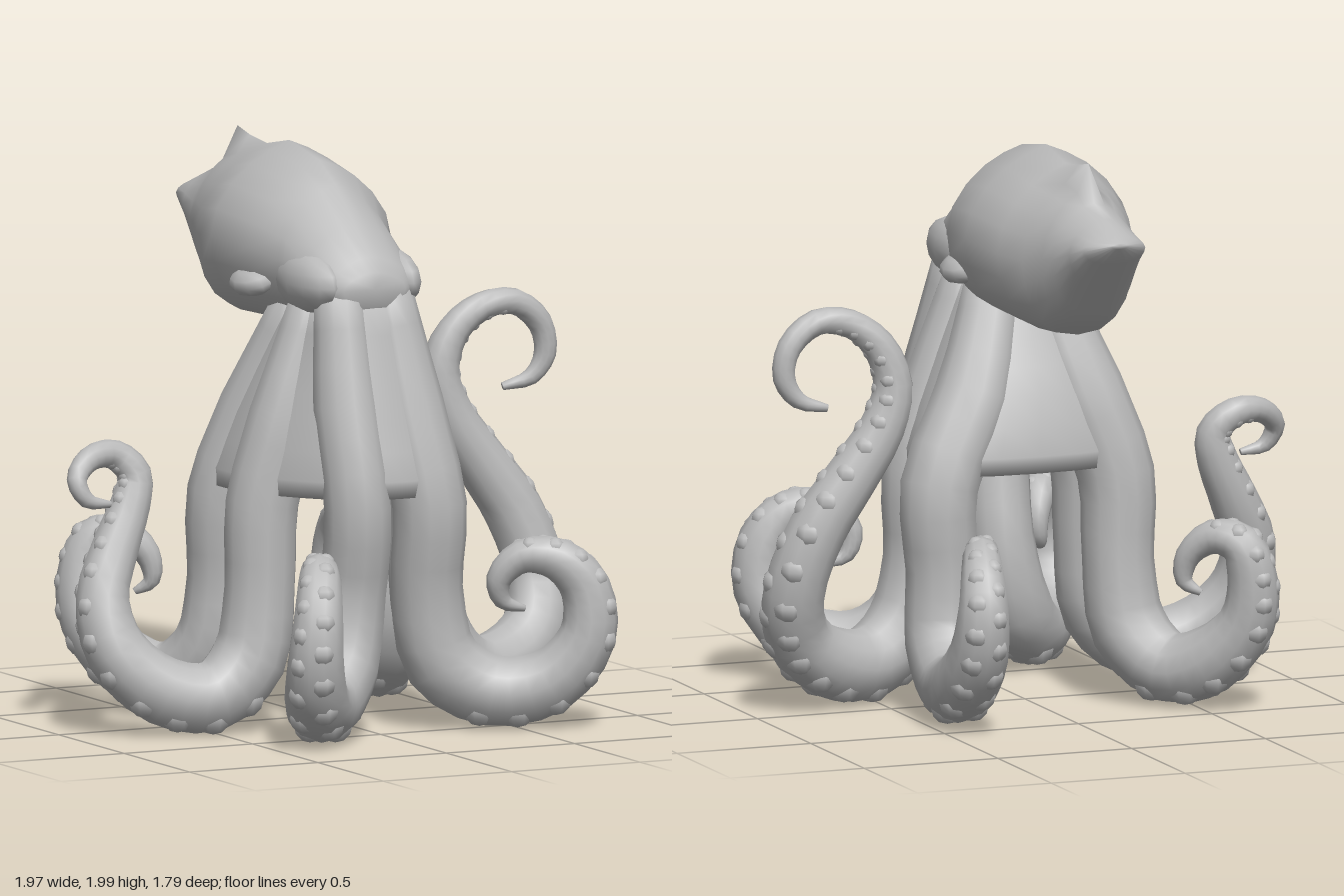
import * as THREE from 'three';
import { mergeGeometries } from 'three/addons/utils/BufferGeometryUtils.js';

const skin = new THREE.MeshStandardMaterial({ color: 0xbababa });
skin.name = 'grey skin';

// Closed smooth skin over rings, each running counter-clockwise about the direction of travel
function loft(rings) {
  const n = rings[0].length, m = rings.length, pos = [], idx = [];
  rings.forEach(r => r.forEach(p => pos.push(p.x, p.y, p.z)));
  for (let k = 0; k < m - 1; k++) {
    for (let i = 0; i < n; i++) {
      const j = (i + 1) % n, a = k * n + i, b = k * n + j;
      idx.push(a, b, a + n, b, b + n, a + n);
    }
  }
  [rings[0], rings[m - 1]].forEach((ring, end) => {
    const c = ring.reduce((s, p) => s.add(p), new THREE.Vector3()).divideScalar(n);
    const id = pos.length / 3, base = end ? (m - 1) * n : 0;
    pos.push(c.x, c.y, c.z);
    for (let i = 0; i < n; i++) {
      const a = base + i, b = base + (i + 1) % n;
      if (end) idx.push(id, a, b); else idx.push(id, b, a);
    }
  });
  const g = new THREE.BufferGeometry();
  g.setAttribute('position', new THREE.Float32BufferAttribute(pos, 3));
  g.setIndex(idx);
  g.computeVertexNormals();
  return g;
}

function add(parent, name, geometry) {
  const mesh = new THREE.Mesh(geometry, skin);
  mesh.name = name;
  parent.add(mesh);
  return mesh;
}

// Tapered arm along points [x, y, z, radius] with two staggered rows of lumpy suckers underneath
function makeArm(name, pts) {
  const arm = new THREE.Group();
  arm.name = name;
  const curve = new THREE.CatmullRomCurve3(pts.map(p => new THREE.Vector3(p[0], p[1], p[2])));
  const last = pts.length - 1, foot = pts[3], out = pts[8];
  const side = new THREE.Vector3(-(out[2] - foot[2]), 0, out[0] - foot[0]).normalize();
  const frame = t => {
    const T = curve.getTangent(t), u = Math.min(t * last, last - 1e-6), i = Math.floor(u);
    const S = side.clone().addScaledVector(T, -side.dot(T)).normalize();
    return { P: curve.getPoint(t), S, N: T.clone().cross(S),
      r: THREE.MathUtils.lerp(pts[i][3], pts[i + 1][3], u - i) };
  };
  const around = (f, a, r) => f.P.clone().addScaledVector(f.S, Math.cos(a) * r).addScaledVector(f.N, Math.sin(a) * r);

  const rings = [], steps = last * 3, sides = 12;
  for (let k = 0; k <= steps; k++) {
    const f = frame(k / steps);
    rings.push(Array.from({ length: sides }, (_, i) => around(f, i / sides * Math.PI * 2, f.r)));
  }
  add(arm, 'armSkin', loft(rings));

  const suckers = [];
  for (let t = 4.6 / last, row = 1; t < 0.78; t += 0.27 / last, row = -row) {
    const f = frame(t), p = around(f, Math.PI / 2 + row * 0.55, f.r * 0.6);
    suckers.push(new THREE.SphereGeometry(f.r * 0.5, 8, 6).translate(p.x, p.y, p.z));
  }
  add(arm, 'suckers', mergeGeometries(suckers));
  return arm;
}

// Arms in order around the body
const ARMS = {
  frontLeftArm: [[.09, 1.55, .36, .09], [.14, 1.15, .43, .125], [.19, .8, .5, .13], [.2, .5, .46, .125],
    [.26, .24, .46, .135], [.42, .135, .52, .125], [.6, .17, .62, .115], [.71, .33, .69, .1], [.7, .5, .69, .088],
    [.61, .6, .66, .075], [.5, .61, .6, .06], [.43, .53, .56, .045], [.45, .45, .55, .03], [.53, .42, .56, .012]],
  leftArm: [[.1, 1.53, .22, .09], [.23, 1.1, .22, .13], [.32, .8, .2, .13], [.32, .5, .2, .125],
    [.38, .26, .19, .135], [.52, .145, .16, .13], [.7, .17, .1, .125], [.83, .28, .05, .115], [.87, .45, -.02, .11],
    [.8, .67, -.06, .105], [.68, .85, -.08, .094], [.57, 1.02, -.09, .082], [.53, 1.17, -.09, .07], [.58, 1.31, -.08, .058],
    [.68, 1.39, -.06, .05], [.8, 1.4, -.05, .046], [.9, 1.32, -.05, .044], [.92, 1.21, -.05, .04], [.87, 1.13, -.06, .03],
    [.77, 1.1, -.08, .014]],
  backLeftArm: [[.08, 1.5, .08, .1], [.21, 1.1, -.04, .14], [.36, .8, -.1, .14], [.35, .5, -.1, .13],
    [.36, .26, -.13, .135], [.38, .135, -.28, .125], [.41, .17, -.46, .12], [.41, .3, -.6, .105], [.41, .46, -.64, .09],
    [.39, .58, -.58, .075], [.35, .63, -.47, .06], [.31, .55, -.4, .045], [.3, .46, -.4, .03], [.33, .43, -.46, .012]],
  backRightArm: [[-.08, 1.5, .08, .1], [-.2, 1.1, -.04, .14], [-.3, .8, -.1, .135], [-.3, .5, -.12, .125],
    [-.33, .26, -.15, .135], [-.43, .135, -.27, .125], [-.54, .18, -.4, .12], [-.63, .32, -.5, .1], [-.64, .47, -.53, .088],
    [-.6, .6, -.52, .075], [-.52, .62, -.45, .06], [-.45, .55, -.4, .045], [-.44, .46, -.39, .03], [-.49, .42, -.42, .012]],
  rightArm: [[-.1, 1.53, .22, .09], [-.23, 1.1, .22, .13], [-.31, .8, .2, .13], [-.32, .5, .2, .125],
    [-.36, .26, .2, .135], [-.5, .135, .2, .125], [-.68, .16, .17, .12], [-.83, .3, .11, .11], [-.86, .48, .06, .095],
    [-.79, .65, .02, .085], [-.72, .8, 0, .072], [-.7, .9, -.01, .06], [-.77, .97, -.03, .052], [-.88, .965, 0, .044],
    [-.95, .9, .04, .036], [-.92, .83, .06, .028], [-.83, .81, .06, .012]],
  frontRightArm: [[-.09, 1.55, .36, .09], [-.1, 1.15, .43, .12], [-.09, .8, .5, .12], [-.085, .5, .45, .12],
    [-.14, .25, .47, .135], [-.25, .135, .57, .125], [-.35, .17, .7, .115], [-.4, .32, .79, .1], [-.39, .48, .79, .088],
    [-.35, .6, .72, .075], [-.3, .61, .62, .06], [-.27, .53, .57, .045], [-.28, .45, .57, .03], [-.31, .42, .62, .012]],
};

// Smooth ring around the arms at height y, shrunk about the body axis and set at height lift
function webRing(y, shrink, lift) {
  const pts = Object.values(ARMS).map(arm => {
    const k = y > arm[1][1] ? 0 : 1, [a, b] = [arm[k], arm[k + 1]];
    const t = (y - a[1]) / (b[1] - a[1]);
    const [x, , z, r] = a.map((v, i) => THREE.MathUtils.lerp(v, b[i], t));
    const grow = 1 + r * 0.65 / Math.hypot(x, z - 0.2);
    return new THREE.Vector3(x * grow * shrink, lift, 0.2 + (z - 0.2) * grow * shrink);
  });
  return new THREE.CatmullRomCurve3(pts, true).getPoints(36).slice(0, 36);
}

// Mantle sections: z, top, bottom, half width, ridge height on the centre line
const MANTLE = [
  [.455, 1.62, 1.5, .12, 0], [.42, 1.67, 1.44, .17, 0], [.3, 1.77, 1.4, .21, 0], [.15, 1.88, 1.4, .22, .01],
  [.03, 1.95, 1.39, .28, .01], [-.2, 1.985, 1.385, .305, .015], [-.38, 1.95, 1.375, .255, .015], [-.5, 1.93, 1.38, .21, .05],
  [-.595, 1.91, 1.44, .175, .09], [-.65, 1.87, 1.49, .16, 0], [-.75, 1.83, 1.6, .135, 0],
  [-.84, 1.79, 1.69, .115, 0], [-.89, 1.77, 1.75, .03, 0],
];

export function createModel() {
  const model = new THREE.Group();
  model.name = 'octopus';

  const sides = 20;
  add(model, 'mantle', loft(MANTLE.map(([z, top, bottom, w, ridge]) =>
    Array.from({ length: sides }, (_, i) => {
      const a = Math.PI / 2 - i / sides * Math.PI * 2, s = Math.sin(a), c = Math.cos(a);
      const x = s > 0 ? c * (1 - 0.25 * s * s) : Math.sign(c) * Math.abs(c) ** 0.8;
      return new THREE.Vector3(x * w, (top + bottom) / 2 + s * (top - bottom) / 2 + (i === 0 ? ridge : 0), z);
    }))));

  // Web joining the arms, hollow underneath
  add(model, 'web', loft([webRing(.84, .2, 1), webRing(.84, .7, .94), webRing(.84, .95, .84),
    ...[.9, 1, 1.1, 1.2, 1.3, 1.4, 1.5].map(y => webRing(y, 1, y))]));

  // Eye bulges and the flared rim of the mantle
  for (const s of [1, -1]) {
    const eye = add(model, s > 0 ? 'leftEyeBulge' : 'rightEyeBulge', new THREE.SphereGeometry(1, 12, 8));
    eye.scale.set(.085, .105, .2);
    eye.position.set(s * .155, 1.57, .25);
    const rim = add(model, s > 0 ? 'leftMantleRim' : 'rightMantleRim', new THREE.SphereGeometry(1, 10, 6));
    rim.scale.set(.08, .05, .12);
    rim.rotation.z = s * -.4;
    rim.position.set(s * .235, 1.55, -.01);
  }

  for (const [name, pts] of Object.entries(ARMS)) model.add(makeArm(name, pts));
  return model;
}
